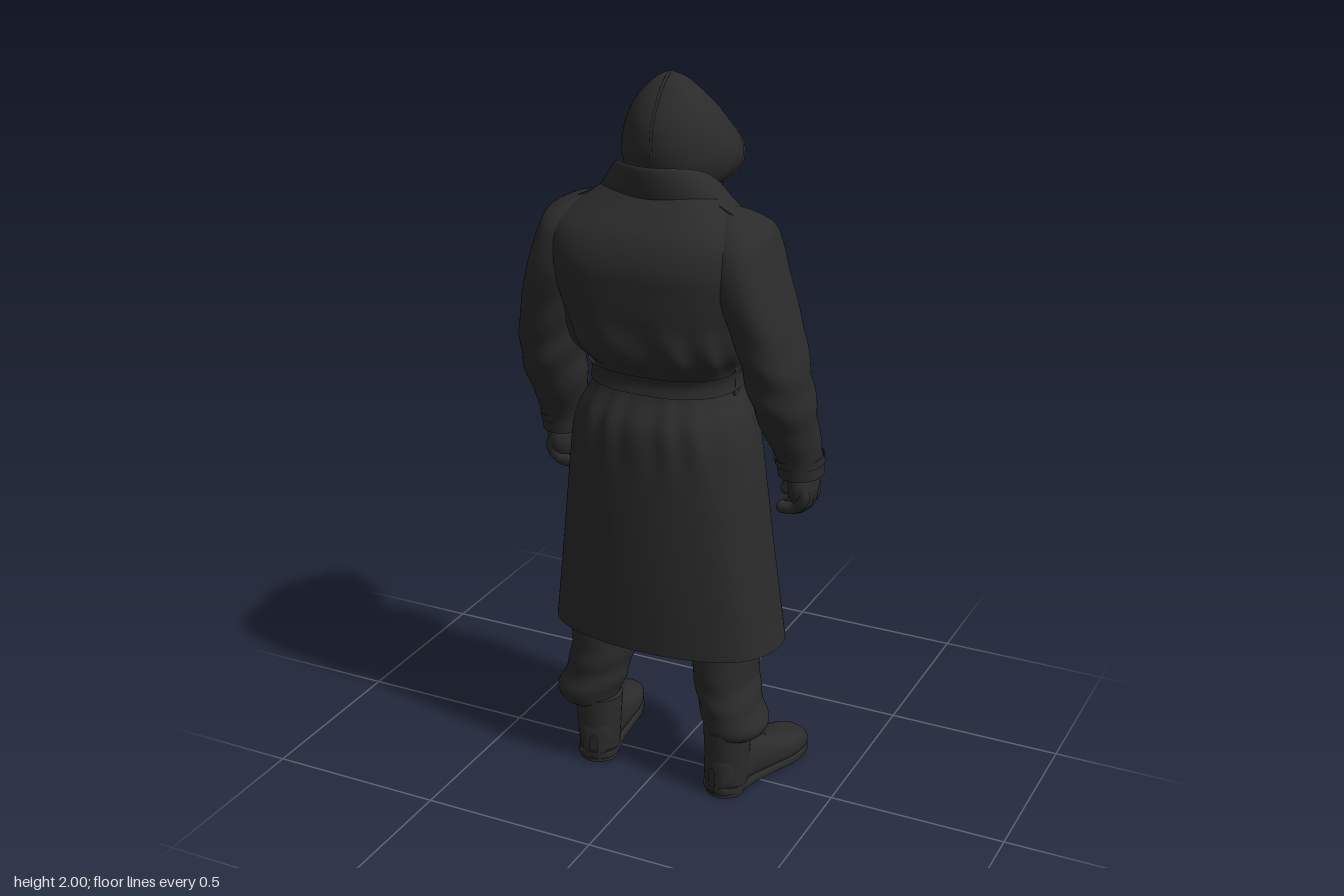
import * as THREE from 'three';

const cloth = new THREE.MeshStandardMaterial({ color: 0x2b2b2b, side: THREE.DoubleSide });
cloth.name = 'charcoal';

const add = (parent, name, geo) => {
  const m = new THREE.Mesh(geo, cloth);
  m.name = name;
  parent.add(m);
  return m;
};
const spow = (v, n) => Math.sign(v) * Math.pow(Math.abs(v), 2 / n);
const bump = (y, c, w) => Math.exp(-(((y - c) / w) ** 2));

// Smooth lookup in a table of stations sorted by their first column
function at(st, k) {
  let i = 0;
  while (i < st.length - 2 && k > st[i + 1][0]) i++;
  const a = st[i], b = st[i + 1], h = b[0] - a[0];
  const t = Math.min(1, Math.max(0, (k - a[0]) / h));
  const slope = (j, c) => {
    const p = st[Math.max(j - 1, 0)], q = st[Math.min(j + 1, st.length - 1)];
    return (q[c] - p[c]) / (q[0] - p[0]);
  };
  return a.slice(1).map((v, c) => {
    const t2 = t * t, t3 = t2 * t;
    return v * (2 * t3 - 3 * t2 + 1) + b[c + 1] * (3 * t2 - 2 * t3)
      + h * (slope(i, c + 1) * (t3 - 2 * t2 + t) + slope(i + 1, c + 1) * (t3 - t2));
  });
}

// Skin a grid of points; wrap closes each row into a ring
function skin(rows, wrap) {
  const n = rows[0].length, idx = [];
  for (let r = 0; r < rows.length - 1; r++)
    for (let c = 0; c < (wrap ? n : n - 1); c++) {
      const d = (c + 1) % n, a = r * n + c, b = r * n + d;
      idx.push(a, b, a + n, b, b + n, a + n);
    }
  const g = new THREE.BufferGeometry();
  g.setAttribute('position', new THREE.Float32BufferAttribute(rows.flat(2), 3));
  g.setIndex(idx);
  g.computeVertexNormals();
  return g;
}
const grid = (nu, nv, f) => Array.from({ length: nu + 1 }, (_, i) =>
  Array.from({ length: nv + 1 }, (_, j) => f(i / nu, j / nv)));

// Upright tube of oval rings; stations are [y, cx, cz, rx, rz]
function tube(st, { s = 1, power = () => 2, rows = 50, cols = 48, fold = () => 0, grow = 0, y0 = st[0][0], y1 = st[st.length - 1][0] } = {}) {
  return skin(Array.from({ length: rows + 1 }, (_, i) => {
    const y = y0 + (y1 - y0) * i / rows, [cx, cz, rx, rz] = at(st, y);
    return Array.from({ length: cols }, (_, j) => {
      const a = j / cols * Math.PI * 2, f = 1 + fold(a, y), n = power(a, y);
      return [s * (cx + (rx + grow) * f * spow(Math.sin(a), n)), y, cz + (rz + grow) * f * spow(Math.cos(a), n)];
    });
  }), true);
}
const rope = (pts, r) => new THREE.TubeGeometry(
  new THREE.CatmullRomCurve3(pts.map(p => new THREE.Vector3(...p))), 24, r, 8);

const COAT = [
  [0.44, 0, -0.007, 0.335, 0.203], [0.7, 0, 0.003, 0.3, 0.206], [1.0, 0, 0.01, 0.262, 0.203],
  [1.1, 0, 0.01, 0.238, 0.195], [1.18, 0, 0.003, 0.2, 0.163], [1.23, 0, 0.003, 0.2, 0.163],
  [1.3, 0, 0.03, 0.235, 0.198], [1.4, 0, 0.033, 0.256, 0.211], [1.48, 0, 0.048, 0.275, 0.201],
  [1.55, 0, 0.062, 0.285, 0.186], [1.62, 0, 0.063, 0.28, 0.158], [1.68, 0, 0.045, 0.205, 0.122],
  [1.72, 0, 0.03, 0.14, 0.1], [1.75, 0, 0.03, 0.08, 0.06]];
// Round in front, squarer across the upper back
const FRONT_N = 2.05;
const coatPower = (a, y) => Math.cos(a) > 0 ? 2.4 + 0.6 * bump(y, 1.5, 0.2) : FRONT_N;

// Thin panel lying on the coat's chest side; rows are [y, x0, x1]
function panel(rows, off, s = 1) {
  const k = rows.length - 1;
  return skin(grid(14 * k, 14, (u, v) => {
    const y = rows[0][0] + (rows[k][0] - rows[0][0]) * u;
    const [x0, x1] = at(rows, y), x = s * (x0 + (x1 - x0) * v);
    const [, cz, rx, rz] = at(COAT, y);
    const q = Math.min(0.999, Math.abs(x / rx));
    const edge = v === 0 || v === 1 || u === 0 || u === 1 ? -0.01 : off;
    return [x, y, cz - rz * Math.pow(1 - q ** FRONT_N, 1 / FRONT_N) - edge];
  }), false);
}

function buildCoat(g) {
  const fold = (a, y) => (0.6 + 0.4 * Math.cos(a)) * (
    0.022 * bump(y, 1.09, 0.1) * Math.cos(17 * a + 2 * Math.sin(3 * a))
    + 0.03 * bump(y, 1.31, 0.07) * Math.cos(13 * a + 20 * y)
    + 0.012 * bump(y, 0.7, 0.3) * Math.cos(7 * a));
  add(g, 'coatBody', tube(COAT, { power: coatPower, rows: 130, cols: 128, fold }));
  // Belt with buckle and loops
  add(g, 'belt', tube(COAT, { power: coatPower, rows: 6, cols: 96, grow: 0.01, y0: 1.184, y1: 1.238 }));
  const frame = new THREE.Shape([[-0.04, -0.036], [0.04, -0.036], [0.04, 0.036], [-0.04, 0.036]].map(p => new THREE.Vector2(...p)));
  frame.holes.push(new THREE.Path([[-0.026, -0.024], [-0.026, 0.024], [0.026, 0.024], [0.026, -0.024]].map(p => new THREE.Vector2(...p))));
  add(g, 'buckle', new THREE.ExtrudeGeometry(frame, { depth: 0.008, bevelSize: 0.003, bevelThickness: 0.003, bevelSegments: 2 }))
    .position.set(-0.05, 1.21, -0.176);
  for (const s of [-1, 1]) {
    add(g, 'beltLoop', new THREE.BoxGeometry(0.012, 0.08, 0.03)).position.set(s * 0.2, 1.209, 0.02);
    // Lapel, side pocket and shoulder strap
    add(g, 'lapel', panel([[1.27, -0.02, 0.01], [1.36, 0.01, 0.09], [1.46, 0.03, 0.155], [1.53, 0.045, 0.19], [1.57, 0.055, 0.15], [1.64, 0.06, 0.12]], 0.012, s));
    add(g, 'pocketWelt', panel([[0.84, 0.215, 0.24], [0.95, 0.2, 0.225], [1.06, 0.165, 0.19]], 0.009, s));
    const strap = add(g, 'shoulderStrap', new THREE.BoxGeometry(0.12, 0.012, 0.055));
    strap.position.set(s * 0.232, 1.662, 0.062);
    strap.rotation.z = -s * 0.46;
  }
  // Overlapping front edge
  add(g, 'frontFlap', panel([[0.44, -0.06, 0.03], [0.8, -0.055, 0.03], [1.17, -0.05, 0.03]], 0.006));
  // Standing, folded collar open at the front: [across, rx, rz, y, drop]
  const roll = [[0, 0.1, 0.1, 1.7, 0.14], [0.4, 0.125, 0.143, 1.785, 0.2], [0.5, 0.138, 0.152, 1.783, 0.2], [0.8, 0.178, 0.146, 1.725, 0.15], [1, 0.205, 0.135, 1.68, 0.13]];
  add(g, 'collar', skin(grid(20, 64, (u, v) => {
    const a = (v - 0.5) * 2 * 2.2, c = Math.cos(a), [rx, rz, y, drop] = at(roll, u);
    return [rx * Math.sin(a), y - drop * ((1 - c) / 2) ** 2, 0.005 + (c > 0 ? rz : rz * 1.2) * c];
  }), false));
}

// Hood sections run back from the slanted face opening: [depth, low, high, halfWidth]
const HOOD = [[0, -0.134, 0.122, 0.138], [0.06, -0.192, 0.11, 0.148], [0.126, -0.208, 0.095, 0.143],
  [0.2, -0.182, 0.075, 0.117], [0.25, -0.138, 0.058, 0.086], [0.275, -0.095, 0.043, 0.059], [0.288, -0.05, 0.028, 0.033], [0.293, -0.012, -0.008, 0.002]];
const hoodPoint = (x, n, d) => [x, 1.757 + 0.77 * n + 0.63 * d, -0.155 + 0.63 * n - 0.77 * d];
const hoodRing = (n, a) => {
  const [lo, hi, w] = at(HOOD, n), c = Math.cos(a);
  return hoodPoint(w * Math.sin(a) * (c > 0 ? 1 - 0.15 * c : 1), n, (lo + hi) / 2 + (hi - lo) / 2 * c);
};

function buildHead(g) {
  add(g, 'hood', skin(grid(40, 64, (u, v) =>
    hoodRing(0.293 * Math.sin(u * Math.PI / 2), v * Math.PI * 2)), false));
  // Centre seam and rolled rim
  add(g, 'hoodSeam', rope([...HOOD.map(([n, , hi]) => hoodPoint(0, n, hi)),
    ...HOOD.slice(2, 7).reverse().map(([n, lo]) => hoodPoint(0, n, lo + 0.003))], 0.004));
  add(g, 'hoodRim', rope(Array.from({ length: 25 }, (_, j) => hoodRing(0, j / 24 * Math.PI * 2)), 0.004));
  const head = add(g, 'head', new THREE.SphereGeometry(1, 32, 24));
  head.scale.set(0.085, 0.12, 0.095);
  head.position.set(0, 1.805, -0.02);
  add(g, 'neck', new THREE.CylinderGeometry(0.065, 0.085, 0.2, 24)).position.set(0, 1.68, 0);
}

const SLEEVE = [[0.945, 0.363, -0.052, 0.057, 0.07], [1.0, 0.36, -0.042, 0.06, 0.076], [1.1, 0.348, 0, 0.073, 0.094],
  [1.2, 0.34, 0.038, 0.079, 0.11], [1.3, 0.325, 0.056, 0.08, 0.118], [1.4, 0.3, 0.065, 0.08, 0.128],
  [1.5, 0.267, 0.07, 0.082, 0.135], [1.6, 0.243, 0.063, 0.077, 0.127], [1.64, 0.235, 0.06, 0.068, 0.098], [1.667, 0.21, 0.055, 0.045, 0.06], [1.685, 0.18, 0.05, 0.01, 0.02]];

function buildArm(g, s) {
  // The right forearm reaches a little further forward
  const reach = s < 0 ? 0.025 : 0;
  const st = SLEEVE.map(([y, cx, cz, rx, rz]) => [y, cx, cz - reach * Math.min(1, Math.max(0, (1.5 - y) / 0.5)), rx, rz]);
  const fold = (a, y) => 0.035 * bump(y, 1.2, 0.16) * Math.sin(48 * y + 2.5 * Math.sin(a) + 1.5 * Math.cos(a));
  const power = (a, y) => 2 + 0.5 * bump(y, 1.5, 0.2);
  add(g, 'sleeve', tube(st, { s, power, rows: 90, fold }));
  add(g, 'cuff', tube(st, { s, rows: 6, grow: 0.003, y0: 0.945, y1: 1.005 }));
  add(g, 'cuffStrap', tube(st, { s, rows: 4, grow: 0.006, y0: 0.98, y1: 1.003 }));
  // Gloved hand with curled fingers
  const hand = new THREE.Group();
  hand.name = 'hand';
  hand.position.z = -reach;
  g.add(hand);
  const palm = add(hand, 'palm', new THREE.SphereGeometry(1, 24, 16));
  palm.scale.set(0.04, 0.07, 0.06);
  palm.position.set(s * 0.37, 0.915, -0.053);
  for (let i = 0; i < 4; i++) {
    const z = -0.013 - i * 0.027, lift = [0.014, 0.004, 0, 0.006][i];
    const pts = [[0.38, 0.92, z], [0.386, 0.875 + lift, z], [0.362, 0.843 + lift, z - 0.004], [0.325, 0.838 + lift, z - 0.006]];
    add(hand, 'finger', rope(pts.map(([x, y, w]) => [s * x, y, w]), 0.018));
    add(hand, 'fingertip', new THREE.SphereGeometry(0.018, 12, 8)).position.set(s * 0.325, 0.838 + lift, z - 0.006);
  }
  add(hand, 'thumb', rope([[0.36, 0.94, -0.085], [0.325, 0.915, -0.102], [0.303, 0.87, -0.1]].map(([x, y, z]) => [s * x, y, z]), 0.018));
  add(hand, 'thumbTip', new THREE.SphereGeometry(0.018, 12, 8)).position.set(s * 0.303, 0.87, -0.1);
}

const TROUSER = [[0.17, 0.225, 0.05, 0.06, 0.065], [0.185, 0.228, 0.052, 0.08, 0.086], [0.215, 0.228, 0.052, 0.091, 0.095],
  [0.26, 0.212, 0.045, 0.09, 0.098], [0.34, 0.192, 0.036, 0.089, 0.104], [0.44, 0.183, 0.03, 0.096, 0.108], [0.75, 0.13, 0.01, 0.11, 0.12]];
const FOOT = [[-0.302, 0.006, 0.045], [-0.292, 0.036, 0.068], [-0.26, 0.056, 0.084], [-0.2, 0.067, 0.095], [-0.12, 0.061, 0.116],
  [-0.05, 0.056, 0.15], [0.03, 0.056, 0.16], [0.06, 0.048, 0.15], [0.078, 0.03, 0.12], [0.083, 0.012, 0.09]];

function buildLeg(g, s) {
  const fold = (a, y) => 0.03 * bump(y, 0.27, 0.09) * Math.sin(65 * y + 2 * Math.sin(a + s) + Math.cos(2 * a));
  add(g, 'trouserLeg', tube(TROUSER, { s, rows: 70, fold }));
  const boot = new THREE.Group();
  boot.name = 'boot';
  boot.position.set(s > 0 ? 0.22 : -0.2, 0, s > 0 ? 0.06 : 0.043);
  boot.rotation.y = s > 0 ? -0.3 : 0.2;
  g.add(boot);
  // Oval or boxy slices from toe to heel
  const slices = (n, lo, hi, wide) => skin(grid(40, 31, (u, v) => {
    const z = -0.302 + 0.385 * (1 - Math.cos(u * Math.PI)) / 2, [w, top] = at(FOOT, z), a = v * Math.PI * 2;
    const h = hi ?? top;
    return [w * wide * spow(Math.sin(a), n), (lo + h) / 2 + (h - lo) / 2 * spow(Math.cos(a), n), z];
  }), false);
  add(boot, 'bootUpper', slices(2.7, 0.015, null, 1));
  add(boot, 'sole', slices(8, 0.012, 0.032, 1.03));
  add(boot, 'heel', new THREE.CylinderGeometry(0.057, 0.055, 0.034, 28)).position.set(0, 0.017, 0.025);
  add(boot, 'bootShaft', new THREE.CylinderGeometry(0.068, 0.058, 0.17, 28)).position.set(0, 0.115, 0.018);
  for (let i = 0; i < 3; i++) {
    const z = -0.13 + i * 0.032, [, y] = at(FOOT, z);
    add(boot, 'lace', rope([[-0.035, y - 0.014, z], [0, y, z], [0.035, y - 0.014, z]], 0.005));
  }
}

export function createModel() {
  const model = new THREE.Group();
  model.name = 'hoodedFigure';
  const part = (name, build, ...args) => {
    const g = new THREE.Group();
    g.name = name;
    build(g, ...args);
    model.add(g);
  };
  part('coat', buildCoat);
  part('hoodedHead', buildHead);
  for (const s of [-1, 1]) {
    part(s > 0 ? 'leftArm' : 'rightArm', buildArm, s);
    part(s > 0 ? 'leftLeg' : 'rightLeg', buildLeg, s);
  }
  return model;
}
